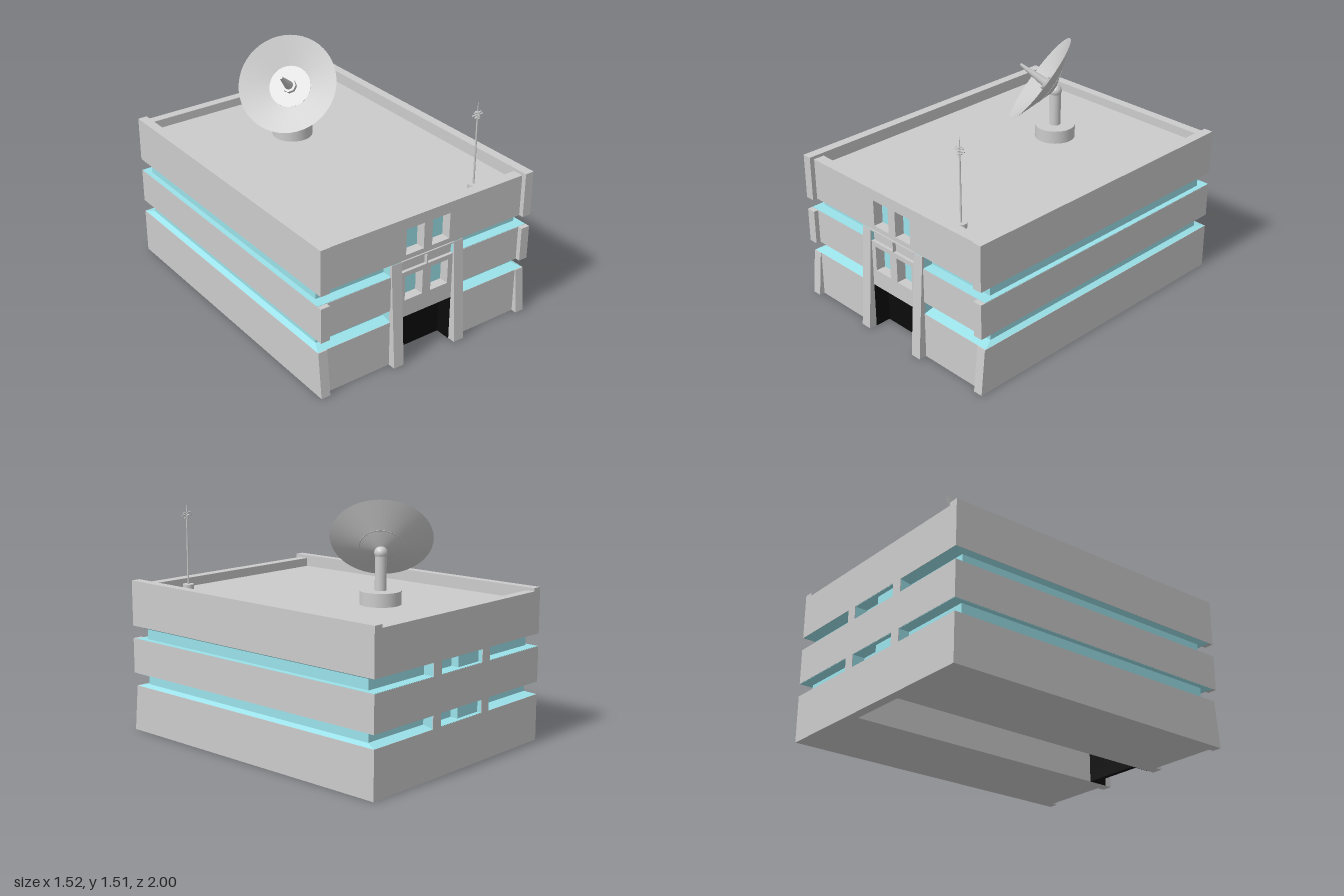
import * as THREE from 'three';

const mat = (color) => new THREE.MeshStandardMaterial({ color, side: THREE.DoubleSide });

export function createModel() {
  const model = new THREE.Group();
  const grey = mat(0xcccccc), glass = mat(0x9be2ea), black = mat(0x0b0b0b);

  const add = (name, geometry, material = grey, parent = model) => {
    const mesh = new THREE.Mesh(geometry, material);
    mesh.name = name;
    parent.add(mesh);
    return mesh;
  };

  // Block with a bottom and a top rectangle [x0, x1, z0, z1]
  const block = (name, y0, y1, bottom, material = grey, top = bottom) => {
    const g = new THREE.BoxGeometry(1, 1, 1), p = g.attributes.position;
    for (let i = 0; i < p.count; i++) {
      const up = p.getY(i) > 0, r = up ? top : bottom;
      p.setXYZ(i, r[p.getX(i) > 0 ? 1 : 0], up ? y1 : y0, r[p.getZ(i) > 0 ? 3 : 2]);
    }
    g.computeVertexNormals();
    return add(name, g, material);
  };

  // The same block on both sides
  const pair = (name, y0, y1, b, material = grey, t = b) => {
    const flip = ([x0, x1, z0, z1]) => [-x1, -x0, z0, z1];
    block(name + 'Left', y0, y1, b, material, t);
    block(name + 'Right', y0, y1, flip(b), material, flip(t));
  };

  // Concrete storeys, split around a passage that is open underneath
  pair('lowerStorey', 0, 0.29, [0.19, 0.7, -1, 0.95]);
  pair('lowerSideWall', 0, 0.29, [0.7, 0.76, -1, 0.985], grey, [0.7, 0.76, -1, 0.955]);
  pair('middleStorey', 0.37, 0.59, [0.19, 0.7, -1, 0.95]);
  pair('middleSideWall', 0.37, 0.59, [0.7, 0.76, -1, 0.98]);
  block('roof', 0.67, 0.88, [-0.7, 0.7, -1, 0.88]);
  pair('upperSideWall', 0.67, 0.955, [0.7, 0.76, -1, 0.98]);
  block('backParapet', 0.88, 0.935, [-0.7, 0.7, -1, -0.94]);
  block('lowerBackWall', 0, 0.29, [-0.19, 0.19, -1, -0.94]);
  block('middleBackWall', 0.37, 0.59, [-0.19, 0.19, -1, -0.94]);

  // Recessed window bands with sloped and flat linings
  const outer = [0.19, 0.758, -0.998, 0.948], inner = [0.19, 0.725, -0.93, 0.88];
  pair('lowerSill', 0.29, 0.305, outer, glass, inner);
  pair('lowerBandGlass', 0.305, 0.37, inner, glass);
  pair('lowerBandSoffit', 0.368, 0.37, outer, glass);
  pair('upperBandSill', 0.59, 0.592, outer, glass);
  pair('upperBandGlass', 0.59, 0.655, inner, glass);
  pair('upperBandSoffit', 0.655, 0.67, inner, glass, outer);
  for (const [y0, y1] of [[0.29, 0.37], [0.59, 0.67]]) {
    pair('backPost', y0, y1, [0.19, 0.26, -1, -0.996]);
    pair('backPostReveal', y0, y1, [0.19, 0.26, -0.996, -0.93], glass);
    pair('frontPostReveal', y0, y1, [0.19, 0.258, 0.88, 0.95], glass);
    block('backSill', y0, y0 + 0.002, [-0.19, 0.19, -0.998, -0.91], glass);
    block('backSoffit', y1 - 0.002, y1, [-0.19, 0.19, -0.998, -0.91], glass);
    block('backGlassDeep', y0, y1, [0, 0.19, -0.92, -0.91], glass);
    block('backGlassShallow', y0, y1, [-0.19, 0, -0.97, -0.91], glass);
  }

  // Leaning columns beside the entrance
  pair('entranceColumn', 0, 0.667, [0.19, 0.26, 0.945, 1], grey, [0.19, 0.26, 0.94, 0.953]);

  // Front walls, each with two window openings
  const frontWall = (name, halfWidth, y0, y1, w0, w1) => {
    const rect = (Kind, x0, x1, a, b) => new Kind([[x0, a], [x1, a], [x1, b], [x0, b]]
      .map(([x, y]) => new THREE.Vector2(x, y)));
    const shape = rect(THREE.Shape, -halfWidth, halfWidth, y0, y1);
    for (const x of [-0.157, 0.03]) {
      shape.holes.push(rect(THREE.Path, x, x + 0.127, w0, w1));
      block(name + 'Window', w0 - 0.005, w1 + 0.005, [x - 0.005, x + 0.132, 0.875, 0.888], glass);
    }
    const g = new THREE.ExtrudeGeometry(shape, { depth: 0.07, bevelEnabled: false });
    add(name, g.translate(0, 0, 0.88));
  };
  frontWall('upperFrontWall', 0.7, 0.67, 0.935, 0.7, 0.865);
  frontWall('middleFrontWall', 0.19, 0.29, 0.59, 0.4, 0.56);

  // Recessed strip over the entrance with a thin mullion
  block('entranceStrip', 0.59, 0.67, [-0.19, 0.19, 0.88, 0.93]);
  block('entranceMullion', 0.59, 0.667, [-0.004, 0.004, 0.93, 0.952]);
  block('entranceLedge', 0.661, 0.668, [-0.19, 0.19, 0.93, 0.956]);

  // Dark doorway
  block('door', 0, 0.29, [-0.19, 0.19, 0.82, 0.85], black);
  pair('doorReveal', 0, 0.29, [0.187, 0.19, 0.85, 0.949], black);
  block('doorCeiling', 0.287, 0.29, [-0.19, 0.19, 0.85, 0.949], black);

  // Dish pedestal
  const cylinder = (name, rTop, rBottom, y0, y1, x, z, parent = model, sides = 32) =>
    add(name, new THREE.CylinderGeometry(rTop, rBottom, y1 - y0, sides)
      .translate(x, (y0 + y1) / 2, z), grey, parent);
  cylinder('dishBase', 0.125, 0.125, 0.88, 0.962, 0, -0.39);
  cylinder('dishPost', 0.035, 0.035, 0.962, 1.19, 0, -0.39);
  add('dishJoint', new THREE.SphereGeometry(0.04, 20, 12).translate(0, 1.185, -0.39));

  // Tilted dish, built along its own y axis
  const dish = new THREE.Group();
  dish.name = 'dish';
  dish.position.set(0, 1.187, -0.39);
  dish.quaternion.setFromUnitVectors(new THREE.Vector3(0, 1, 0),
    new THREE.Vector3(-0.627, 0.597, 0.5).normalize());
  model.add(dish);
  const profile = [[0, 0.01], [0.04, 0.015], [0.13, 0.05], [0.308, 0.12]]
    .map(([r, y]) => new THREE.Vector2(r, y));
  add('reflector', new THREE.LatheGeometry(profile, 48), grey, dish);
  cylinder('reflectorCentre', 0.13, 0.13, 0.048, 0.052, 0, 0, dish, 48);
  cylinder('feedHub', 0.045, 0.045, 0.05, 0.085, 0, 0, dish, 8);
  cylinder('feedHorn', 0.009, 0.028, 0.085, 0.27, 0, 0, dish, 16);

  // Roof antenna
  const ax = 0.44, az = 0.82;
  cylinder('antennaBase', 0.035, 0.035, 0.88, 0.91, ax, az);
  cylinder('antennaMast', 0.005, 0.006, 0.91, 1.37, ax, az, model, 10);
  cylinder('antennaTip', 0.001, 0.004, 1.37, 1.425, ax, az, model, 8);
  for (const [y, half] of [[1.328, 0.018], [1.345, 0.038], [1.36, 0.028]]) {
    block('antennaBar', y - 0.003, y + 0.003, [ax - half, ax + half, az - 0.005, az + 0.005]);
    block('antennaCrossBar', y - 0.002, y + 0.002, [ax - 0.005, ax + 0.005, az - 0.017, az + 0.017]);
  }
  return model;
}
